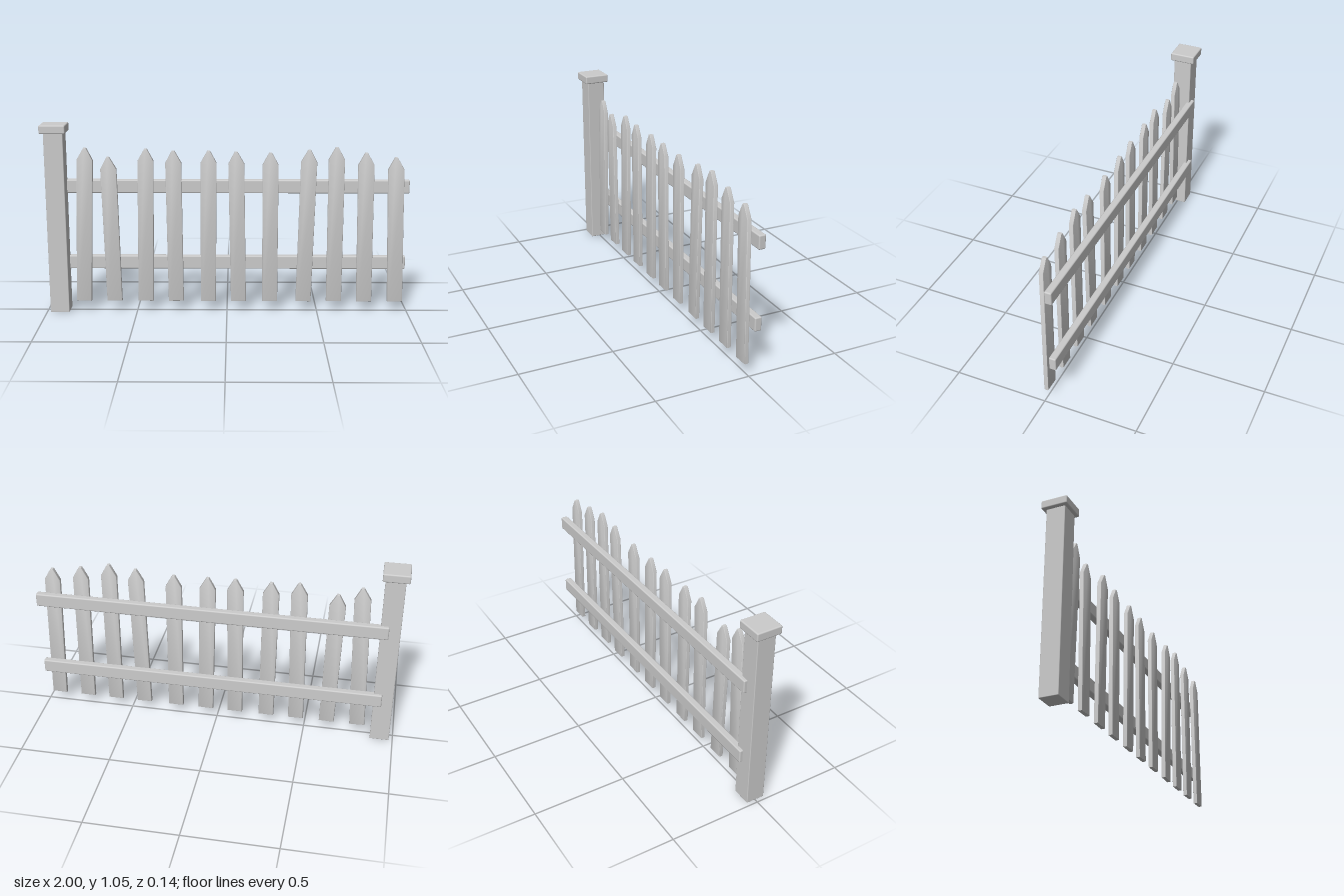
import * as THREE from 'three';
import { toCreasedNormals } from 'three/addons/utils/BufferGeometryUtils.js';
import { RoundedBoxGeometry } from 'three/addons/geometries/RoundedBoxGeometry.js';

const wood = new THREE.MeshStandardMaterial({ color: 0xcccccc });
wood.name = 'greyWood';

// Softly rounded box given by its min and max corners
function block(name, min, max, radius) {
  const s = max.map((v, i) => v - min[i]);
  const mesh = new THREE.Mesh(new RoundedBoxGeometry(s[0], s[1], s[2], 2, radius), wood);
  mesh.name = name;
  mesh.position.set(...min.map((v, i) => v + s[i] / 2));
  return mesh;
}

// Pointed board standing on its own origin, with bevelled edges
function picketGeometry(height, width) {
  const bevel = 0.005, w = width / 2 - bevel, shoulder = height - 0.068;
  const shape = new THREE.Shape();
  shape.moveTo(-w * 0.96, bevel);
  shape.lineTo(w * 0.96, bevel);
  shape.lineTo(w, shoulder);
  shape.lineTo(0.004, height - bevel);
  shape.lineTo(-0.004, height - bevel);
  shape.lineTo(-w, shoulder);
  shape.closePath();
  const depth = 0.015;
  const geo = new THREE.ExtrudeGeometry(shape, {
    depth, bevelThickness: bevel, bevelSize: bevel, bevelSegments: 2,
  });
  geo.translate(0, 0, -depth / 2);
  return toCreasedNormals(geo, 0.7);
}

export function createModel() {
  const model = new THREE.Group();
  model.name = 'picketFence';

  // End post with its cap
  model.add(block('post', [-0.98, 0, -0.05], [-0.875, 1.01, 0.052], 0.004));
  model.add(block('postCap', [-1, 1.004, -0.07], [-0.86, 1.05, 0.07], 0.007));

  // Horizontal rails behind the pickets
  model.add(block('upperRail', [-0.92, 0.662, -0.068], [0.997, 0.736, -0.03], 0.007));
  model.add(block('lowerRail', [-0.92, 0.23, -0.068], [0.99, 0.305, -0.03], 0.007));

  // Uneven pickets: bottom x, tip x, tip y
  const base = 0.055;
  const pickets = [
    [-0.797, -0.767, 0.92], [-0.626, -0.644, 0.87], [-0.452, -0.439, 0.915],
    [-0.283, -0.291, 0.905], [-0.104, -0.099, 0.905], [0.064, 0.049, 0.9],
    [0.238, 0.235, 0.895], [0.424, 0.445, 0.91], [0.594, 0.592, 0.925],
    [0.762, 0.751, 0.895], [0.934, 0.912, 0.87],
  ];
  pickets.forEach(([x0, x1, top], i) => {
    const height = Math.hypot(x1 - x0, top - base);
    const mesh = new THREE.Mesh(picketGeometry(height, 0.087), wood);
    mesh.name = `picket${i + 1}`;
    mesh.position.set(x0, base, 0.001);
    mesh.rotation.z = -Math.atan2(x1 - x0, top - base);
    model.add(mesh);
  });

  return model;
}
